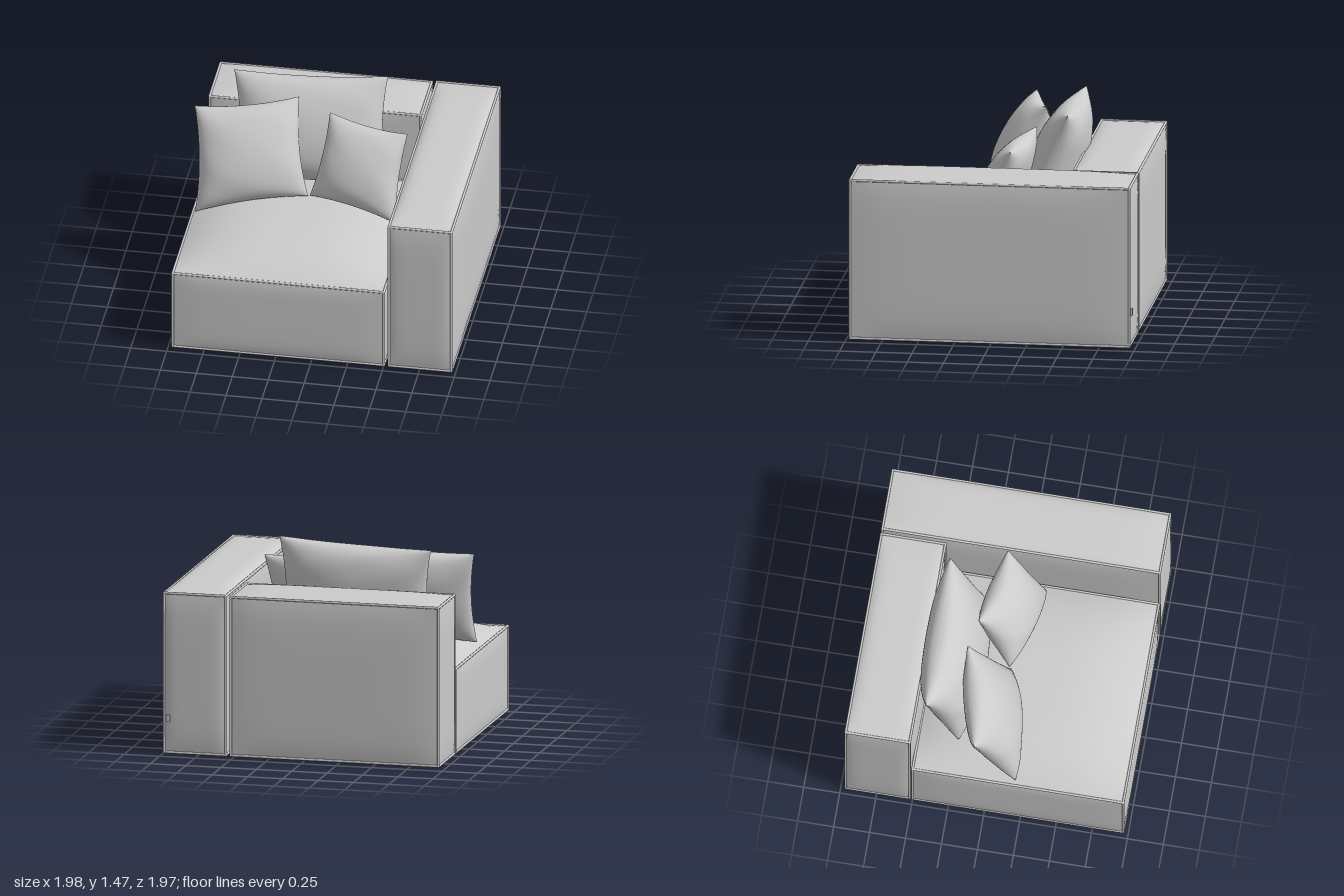
import * as THREE from 'three';

const fabric = new THREE.MeshStandardMaterial({ color: 0xcccccc });
const footMat = new THREE.MeshStandardMaterial({ color: 0x222222 });

function addMesh(parent, name, geometry, material = fabric) {
  const mesh = new THREE.Mesh(geometry, material);
  mesh.name = name;
  parent.add(mesh);
  return mesh;
}

// Upholstered block: a box whose faces swell outwards, with piping on all edges.
// min/max are the seam corners; bulge gives the swelling of each pair of faces.
function block(name, min, max, bulge, topBulge, power = 6) {
  const group = new THREE.Group();
  group.name = name;
  const lo = new THREE.Vector3(...min), hi = new THREE.Vector3(...max);
  const size = hi.clone().sub(lo), mid = hi.clone().add(lo).multiplyScalar(0.5);

  const geo = new THREE.BoxGeometry(size.x, size.y, size.z, 24, 24, 24);
  const pos = geo.attributes.position, nor = geo.attributes.normal;
  const p = new THREE.Vector3(), n = new THREE.Vector3();
  for (let i = 0; i < pos.count; i++) {
    p.fromBufferAttribute(pos, i);
    n.fromBufferAttribute(nor, i);
    let amount = n.y > 0.5 ? topBulge : n.y < -0.5 ? 0 : Math.abs(n.x) > 0.5 ? bulge[0] : bulge[1];
    const k = n.y > 0.5 ? power : 6;
    for (const a of ['x', 'y', 'z']) {
      if (Math.abs(n[a]) < 0.5) amount *= 1 - Math.min(1, Math.abs(2 * p[a] / size[a])) ** k;
    }
    p.addScaledVector(n, amount).add(mid);
    pos.setXYZ(i, p.x, p.y, p.z);
  }
  geo.computeVertexNormals();
  addMesh(group, name + 'Body', geo);

  // Piping: four parallel cords along each axis
  const axes = ['x', 'y', 'z'];
  axes.forEach((a, i) => {
    const b = axes[(i + 1) % 3], c = axes[(i + 2) % 3];
    for (const sb of [-0.5, 0.5]) for (const sc of [-0.5, 0.5]) {
      const cord = addMesh(group, 'piping', new THREE.CapsuleGeometry(0.009, size[a], 3, 8));
      if (a === 'x') cord.rotation.z = Math.PI / 2;
      if (a === 'z') cord.rotation.x = Math.PI / 2;
      cord.position.copy(mid);
      cord.position[b] += sb * size[b];
      cord.position[c] += sc * size[c];
    }
  });
  return group;
}

// Throw pillow stretched between four corners: a front and a back skin meeting at a seam.
function pillow(name, corners, thickness, pinch, phase) {
  const group = new THREE.Group();
  group.name = name;
  const [tl, tr, bl, br] = corners.map(c => new THREE.Vector3(...c));
  const across = tr.clone().add(br).sub(tl).sub(bl);
  const upward = tl.clone().add(tr).sub(bl).sub(br);
  const normal = across.cross(upward).normalize();
  const top = new THREE.Vector3(), p = new THREE.Vector3();

  for (const side of [1, -1]) {
    const geo = new THREE.PlaneGeometry(2, 2, 36, 36);
    const pos = geo.attributes.position;
    for (let i = 0; i < pos.count; i++) {
      // Crowd the grid towards the seam, where the curvature is highest
      const u = Math.sin(pos.getX(i) * Math.PI / 2) * side;
      const v = Math.sin(pos.getY(i) * Math.PI / 2);
      const s = 0.5 + 0.5 * u * (1 - pinch * (1 - v * v) * u * u);
      const t = 0.5 + 0.5 * v * (1 - pinch * (1 - u * u) * v * v);
      top.lerpVectors(tl, tr, s);
      p.lerpVectors(bl, br, s).lerp(top, t);
      const dome = Math.max(0, (1 - u * u) * (1 - v * v)) ** 0.45;
      // Soft folds that run in from the seam and fade at the middle
      const fold = 0.05 * Math.sin(5 * u + phase + 2 * v) * Math.cos(6 * v - phase) * (u * u + v * v);
      p.addScaledVector(normal, side * thickness * 0.5 * dome * (1 - 0.12 * v + fold));
      pos.setXYZ(i, p.x, p.y, p.z);
    }
    geo.computeVertexNormals();
    addMesh(group, side > 0 ? 'pillowFront' : 'pillowBack', geo);
  }
  return group;
}

export function createModel() {
  const model = new THREE.Group();
  model.name = 'cornerArmchair';

  // Upholstered modules
  model.add(block('seat', [-0.965, 0.025, -0.5], [0.505, 0.61, 0.965], [0.012, 0.014], 0.14, 3));
  model.add(block('backrest', [-0.965, 0.025, -0.965], [0.505, 1.135, -0.52], [0.014, 0.018], 0.025));
  model.add(block('armrest', [0.54, 0.025, -0.965], [0.975, 1.14, 0.965], [0.018, 0.016], 0.03));

  // Loose pillows: top left, top right, bottom left, bottom right as seen from the front
  model.add(pillow('backPillow',
    [[-0.78, 1.42, -0.44], [0.29, 1.47, -0.45], [-0.73, 0.7, -0.22], [0.32, 0.7, -0.22]], 0.38, 0.07, 0.4));
  model.add(pillow('rightPillow',
    [[-0.99, 1.33, -0.07], [-0.29, 1.38, -0.23], [-0.94, 0.65, 0.21], [-0.18, 0.76, 0.05]], 0.31, 0.08, 1.7));
  model.add(pillow('leftPillow',
    [[-0.07, 1.3, -0.19], [0.49, 1.25, -0.08], [-0.17, 0.76, 0.04], [0.45, 0.69, 0.19]], 0.28, 0.08, 3.1));

  // Short round feet
  for (const [x, z] of [[0.76, 0.78], [0.76, -0.74], [-0.86, 0.78], [-0.86, -0.74]]) {
    addMesh(model, 'foot', new THREE.CylinderGeometry(0.036, 0.036, 0.03, 20), footMat)
      .position.set(x, 0.015, z);
  }

  // Small fabric tab on the rear of the armrest
  addMesh(model, 'fabricTab', new THREE.BoxGeometry(0.025, 0.05, 0.02)).position.set(0.945, 0.265, -0.975);

  return model;
}
